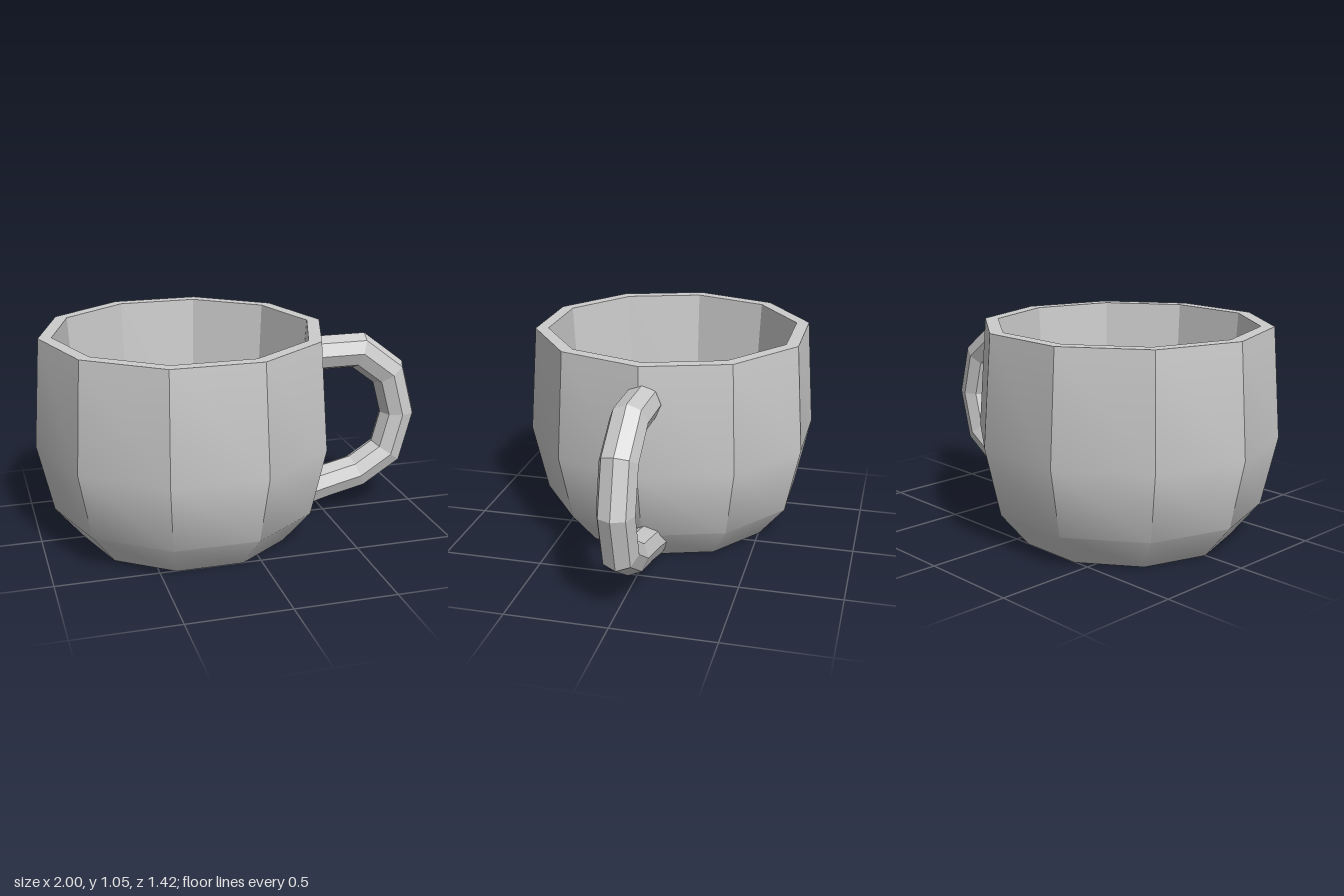
import * as THREE from 'three';
import { toCreasedNormals } from 'three/addons/utils/BufferGeometryUtils.js';

const CUP_X = -0.255;
const HANDLE_Z = -0.015;
const HANDLE_R = 0.09;

// Ten-sided turned surface with corners on the x axis
function turned(points) {
  const profile = points.map(([r, y]) => new THREE.Vector2(r, y));
  return new THREE.LatheGeometry(profile, 10).rotateY(Math.PI / 2).translate(CUP_X, 0, 0);
}

// Eight-sided bar bent along a path in the xy plane, with mitred joints
function bentBar(points, radius) {
  const path = points.map(([x, y]) => new THREE.Vector2(x, y));
  const last = path.length - 1;
  const normals = path.map((p, i) => {
    const a = p.clone().sub(path[Math.max(i - 1, 0)]).normalize();
    const b = path[Math.min(i + 1, last)].clone().sub(p).normalize();
    if (i === 0) a.copy(b);
    if (i === last) b.copy(a);
    const t = a.clone().add(b).normalize();
    return new THREE.Vector2(-t.y, t.x).divideScalar(t.dot(a));
  });
  const geometry = new THREE.CylinderGeometry(1, 1, 1, 8, last);
  const pos = geometry.attributes.position;
  for (let i = 0; i < pos.count; i++) {
    const k = Math.round((0.5 - pos.getY(i)) * last);
    const across = pos.getX(i) * radius;
    pos.setXYZ(
      i,
      path[k].x + normals[k].x * across,
      path[k].y + normals[k].y * across,
      pos.getZ(i) * radius
    );
  }
  geometry.computeVertexNormals();
  return geometry;
}

export function createModel() {
  const model = new THREE.Group();
  model.name = 'mug';
  const smooth = new THREE.MeshStandardMaterial({ color: 0xcccccc });
  const faceted = new THREE.MeshStandardMaterial({ color: 0xcccccc, flatShading: true });

  const add = (name, geometry, material) => {
    const mesh = new THREE.Mesh(geometry, material);
    mesh.name = name;
    model.add(mesh);
    return mesh;
  };

  // Outside: base, bulging wall and flat rim
  const outside = turned([
    [0, 0], [0.53, 0], [0.67, 0.17], [0.745, 0.51], [0.705, 1.05], [0.64, 1.05],
  ]);
  add('outerWall', toCreasedNormals(outside, Math.PI / 6), smooth);

  // Inside: steep wall, sloped ring and floor
  add('innerWall', turned([[0.64, 1.05], [0.59, 0.27], [0.38, 0.09], [0, 0.09]]), faceted);

  // Handle: from the upper wall round to the foot of the cup
  const handle = bentBar([
    [0.44, 0.87], [0.675, 0.87], [0.845, 0.74], [0.905, 0.52],
    [0.848, 0.305], [0.683, 0.2], [0.48, 0.153], [0.28, 0.095],
  ], HANDLE_R);
  add('handle', handle, faceted).position.z = HANDLE_Z;

  return model;
}
